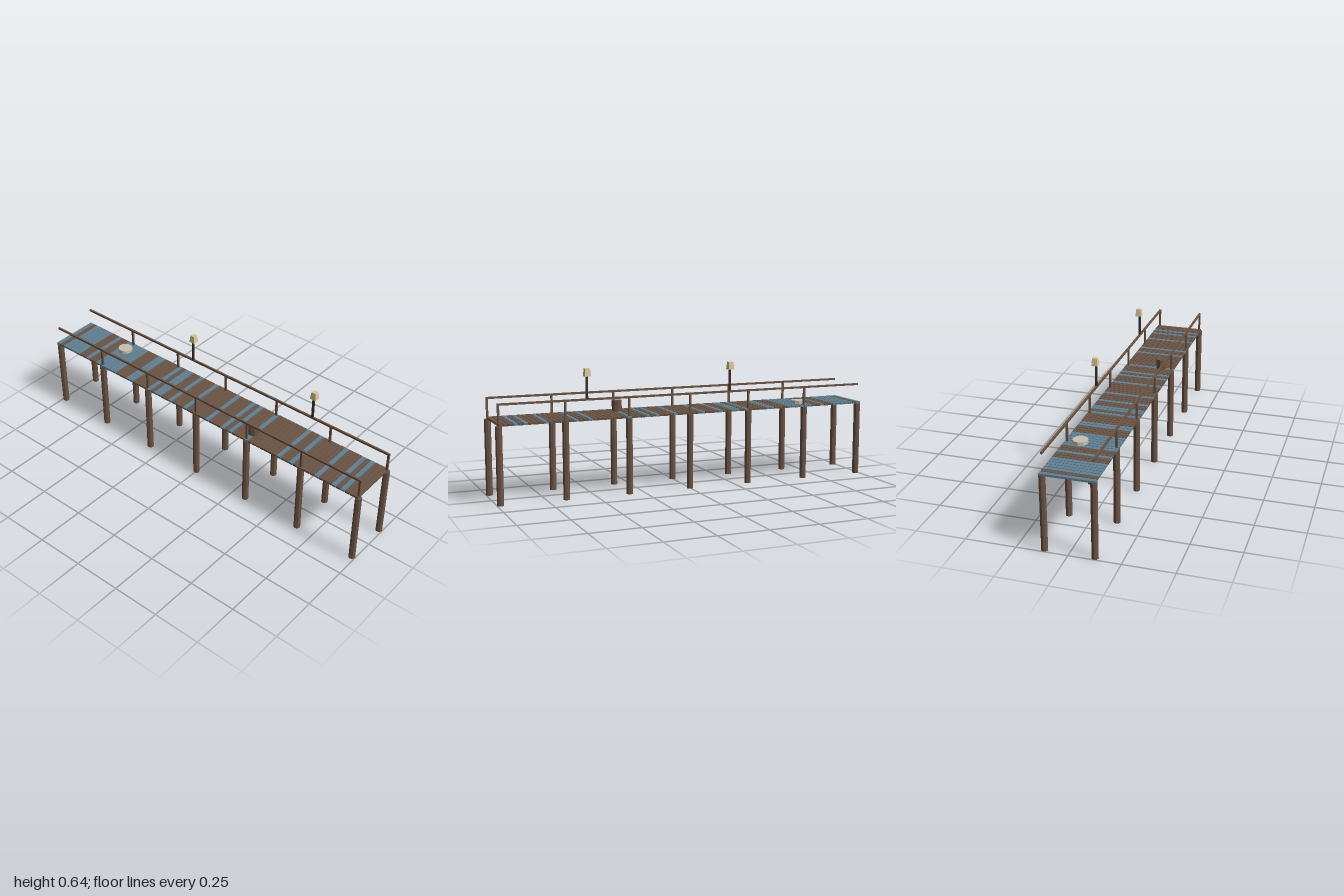
import * as THREE from 'three';

const mat = (name, color, extra = {}) => {
  const m = new THREE.MeshStandardMaterial({ color, ...extra });
  m.name = name;
  return m;
};

export function createModel() {
  const pier = new THREE.Group();
  pier.name = 'pier';
  const wood = mat('brown wood', 0x6b5444, { flatShading: true });
  const blue = mat('weathered blue paint', 0x5f8093, { flatShading: true });
  const iron = mat('dark iron', 0x3a302d, { flatShading: true });
  const glass = mat('cream lamp', 0xd8ca98, { flatShading: true });
  const rope = mat('pale rope', 0xc8c0b0, { flatShading: true });

  const add = (name, geometry, material, x, y, z) => {
    const mesh = new THREE.Mesh(geometry, material);
    mesh.name = name;
    mesh.position.set(x, y, z);
    pier.add(mesh);
    return mesh;
  };

  const midX = -0.003;
  const halfX = 0.12;
  const deckTop = 0.394;
  const railTop = 0.493;
  const reach = 0.983;

  // Deck planks with narrow gaps, some painted blue
  const count = 80;
  const pitch = 1.985 / count;
  const painted = new Set([0, 2, 3, 4, 5, 6, 9, 12, 13, 14, 15, 16, 17, 21, 22, 27, 29, 30,
    33, 37, 43, 47, 49, 53, 61, 64, 70, 74, 76]);
  const plankGeo = new THREE.BoxGeometry(0.262, 0.01, pitch * 0.88);
  for (let i = 0; i < count; i++) {
    add('plank', plankGeo, painted.has(i) ? blue : wood,
      midX, deckTop - 0.005, -0.998 + (i + 0.5) * pitch);
  }

  // Piles, rail posts and handrails on both sides
  const pileGeo = new THREE.CylinderGeometry(0.017, 0.017, 0.384, 8);
  const postGeo = new THREE.BoxGeometry(0.01, railTop - deckTop, 0.01);
  const railGeo = new THREE.BoxGeometry(0.01, 0.01, reach * 2);
  for (const side of [-1, 1]) {
    const x = midX + side * halfX;
    for (let i = 0; i < 7; i++) {
      const z = reach - (i * reach) / 3;
      add('pile', pileGeo, wood, x, 0.192, z);
      // The far end is left without posts
      if (i < 6) add('railPost', postGeo, wood, x, (deckTop + railTop) / 2, z);
    }
    add('handrail', railGeo, wood, x, railTop - 0.005, 0);
  }

  // Lamps on the left rail: a thin pole and a tapered square lantern
  const poleGeo = new THREE.BoxGeometry(0.01, 0.112, 0.01);
  const lampGeo = new THREE.CylinderGeometry(0.012 * Math.SQRT2, 0.016 * Math.SQRT2, 0.039, 4);
  lampGeo.rotateY(Math.PI / 4);
  for (const z of [0.545, -0.22]) {
    add('lampPole', poleGeo, iron, 0.117, 0.547, z);
    add('lantern', lampGeo, glass, 0.122, 0.6215, z);
  }

  // Barrel and coiled rope standing on the deck
  add('barrel', new THREE.CylinderGeometry(0.027, 0.027, 0.055, 8), wood, -0.069, deckTop + 0.0275, 0.328);
  add('ropeCoil', new THREE.CylinderGeometry(0.038, 0.038, 0.017, 10), rope, 0.052, deckTop + 0.0085, -0.655);

  return pier;
}
